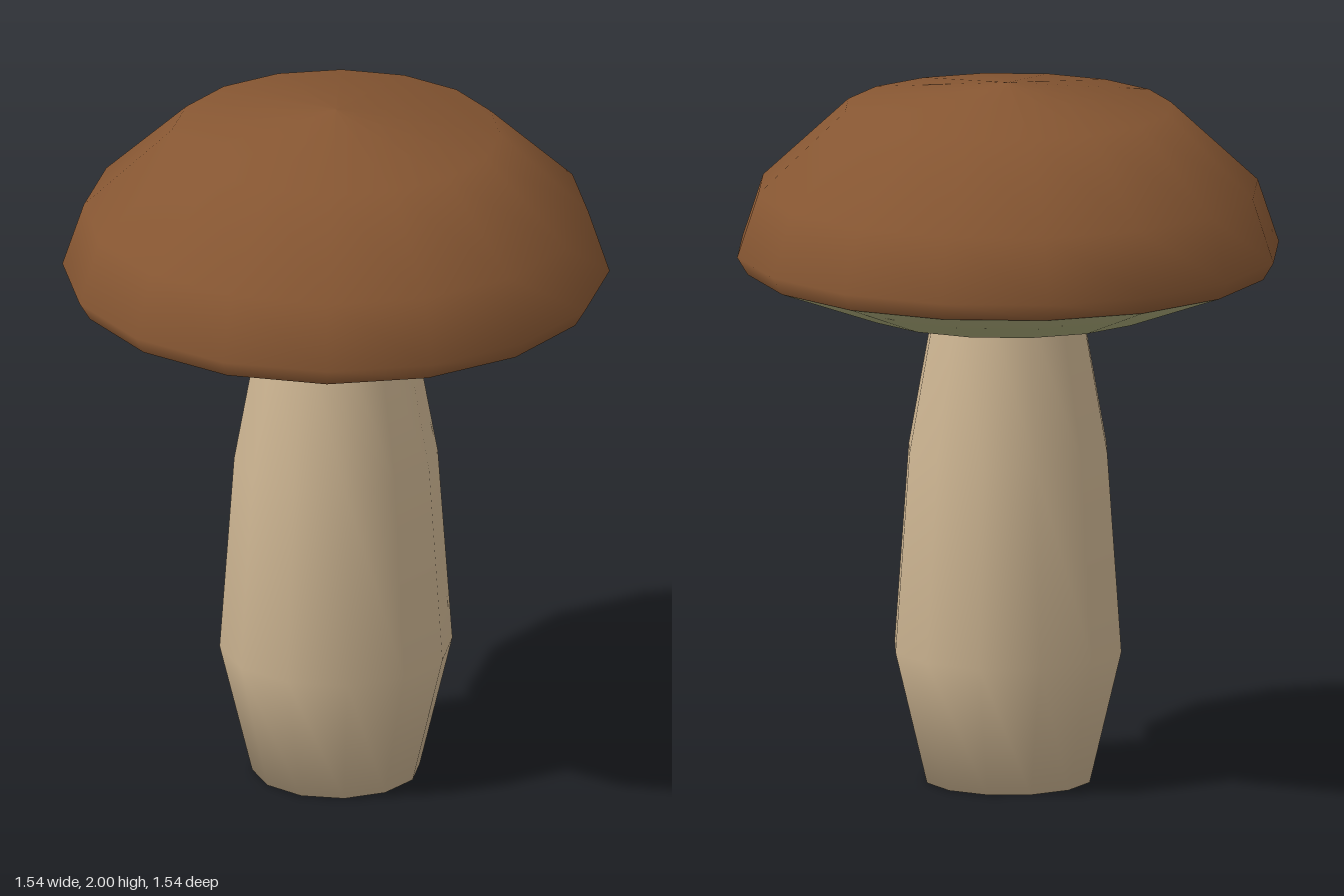
import * as THREE from 'three';

// Smooth-shaded turned part; profile runs from bottom to top as [radius, height]
function turned(name, profile, sides, color) {
  const points = profile.map(([r, y]) => new THREE.Vector2(r, y));
  const mesh = new THREE.Mesh(
    new THREE.LatheGeometry(points, sides),
    new THREE.MeshStandardMaterial({ color, side: THREE.DoubleSide })
  );
  mesh.name = name;
  return mesh;
}

export function createModel() {
  const group = new THREE.Group();
  group.name = 'mushroom';

  // Swollen stem with a closed foot, its top tucked into the gills
  group.add(turned('stem', [
    [0, 0], [0.237, 0], [0.329, 0.38], [0.288, 0.95], [0.21, 1.38],
  ], 12, 0xcdb592));

  // Pale underside, bulging slightly below the rim
  group.add(turned('gills', [
    [0.16, 1.375], [0.43, 1.355], [0.74, 1.47],
  ], 16, 0xa9a878));

  // Domed cap with a narrow rolled rim
  group.add(turned('cap', [
    [0.74, 1.47], [0.77, 1.52], [0.71, 1.70], [0.463, 1.93], [0, 2],
  ], 16, 0x865632));

  return group;
}
